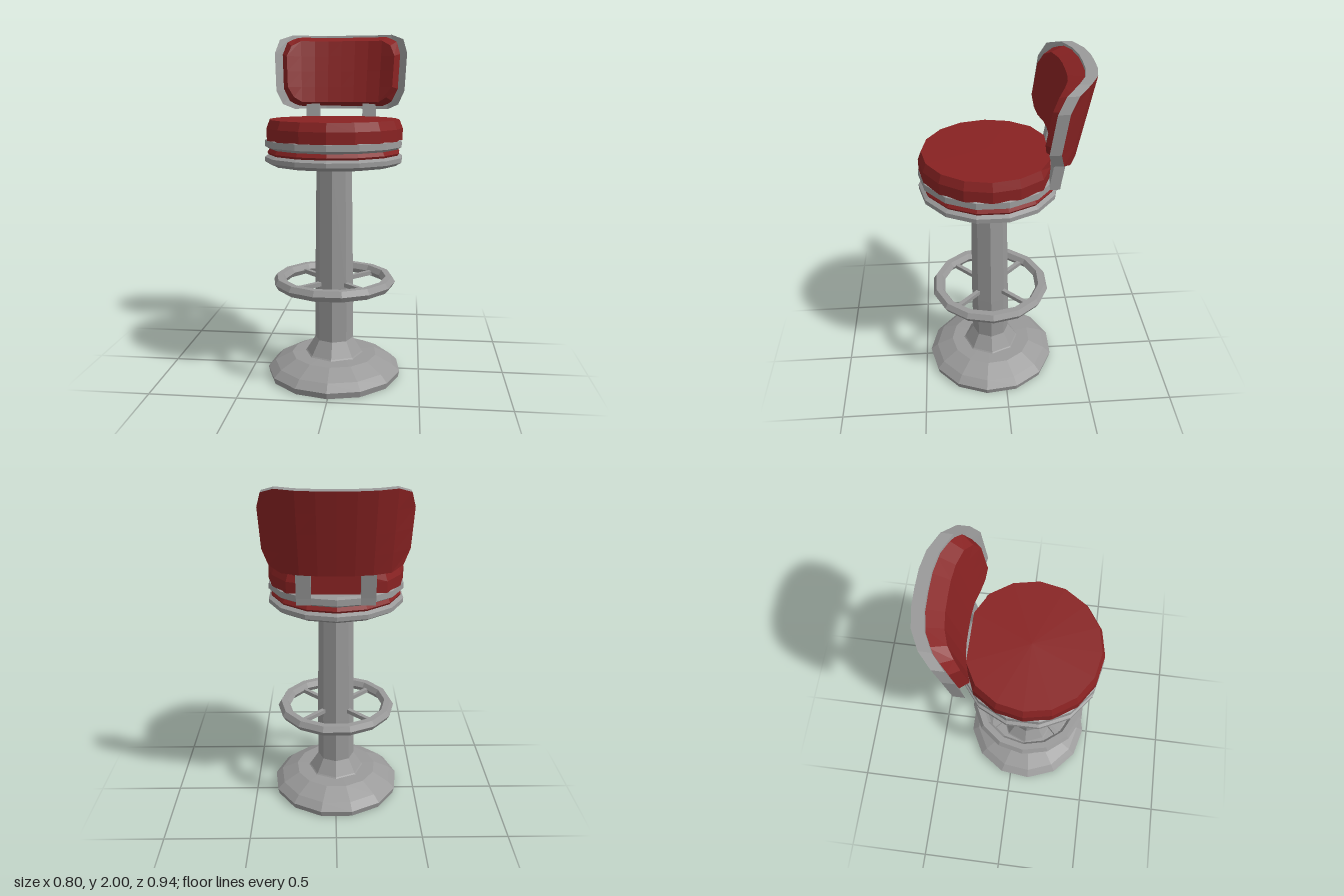
import * as THREE from 'three';

const red = new THREE.MeshStandardMaterial({ color: 0x882222, flatShading: true });
red.name = 'red upholstery';
const grey = new THREE.MeshStandardMaterial({ color: 0x999999, flatShading: true });
grey.name = 'grey metal';

const AXIS_Z = 0.077; // the pedestal stands slightly forward of the backrest

export function createModel() {
  const model = new THREE.Group();
  model.name = 'barStool';

  const add = (name, geometry, material) => {
    const mesh = new THREE.Mesh(geometry, material);
    mesh.name = name;
    model.add(mesh);
    return mesh;
  };

  // Faceted turned part around the pedestal axis; profile runs bottom to top
  const turned = (name, profile, sides, material) => {
    const points = profile.map(([r, y]) => new THREE.Vector2(r, y));
    const mesh = add(name, new THREE.LatheGeometry(points, sides), material);
    mesh.position.set(-0.004, 0, AXIS_Z);
    return mesh;
  };

  // Pedestal
  turned('base', [[0, 0], [0.385, 0], [0.393, 0.035], [0.35, 0.075], [0.25, 0.125], [0, 0.135]], 13, grey);
  turned('column', [[0.19, 0.11], [0.165, 0.135], [0.112, 0.22], [0.112, 0.5], [0.102, 1.23], [0.09, 1.27]], 8, grey);

  // Foot ring with four thin spokes
  const ring = new THREE.TorusGeometry(0.32, 0.037, 6, 14);
  ring.rotateX(Math.PI / 2).scale(1, 0.95, 1);
  add('footRing', ring, grey).position.set(-0.004, 0.568, AXIS_Z);
  for (let i = 0; i < 4; i++) {
    const spoke = new THREE.BoxGeometry(0.22, 0.025, 0.025);
    spoke.translate(0.2, 0, 0).rotateY(Math.PI / 4 + i * Math.PI / 2);
    add('footRingSpoke', spoke, grey).position.set(-0.004, 0.562, AXIS_Z);
  }

  // Seat: plate, recessed trim, metal band, cushion
  turned('seatPlate', [[0, 1.255], [0.36, 1.255], [0.393, 1.275], [0.393, 1.3], [0.365, 1.318], [0, 1.318]], 14, grey);
  turned('seatTrim', [[0.37, 1.31], [0.378, 1.325], [0.362, 1.352]], 14, red);
  turned('seatBand', [[0, 1.345], [0.365, 1.345], [0.392, 1.36], [0.39, 1.395], [0.37, 1.405], [0, 1.405]], 14, grey);
  const cushion = turned('seatCushion',
    [[0, 1.395], [0.387, 1.395], [0.387, 1.46], [0.368, 1.508], [0, 1.516]], 16, red);
  const cp = cushion.geometry.attributes.position;
  for (let i = 0; i < cp.count; i++) cp.setZ(i, Math.max(cp.getZ(i), -0.325)); // flattened at the back

  // Backrest struts
  const strutShape = new THREE.Shape([
    [-0.2, 1.36], [-0.295, 1.36], [-0.3, 1.4], [-0.335, 1.62], [-0.275, 1.62], [-0.24, 1.4],
  ].map(([z, y]) => new THREE.Vector2(z, y)).reverse());
  for (const x of [-0.172, 0.172]) {
    const strut = new THREE.ExtrudeGeometry(strutShape, { depth: 0.08, bevelEnabled: false });
    strut.translate(0, 0, -0.04).rotateY(-Math.PI / 2);
    add(x > 0 ? 'leftStrut' : 'rightStrut', strut, grey).position.x = x;
  }

  // Curved, reclined slab with clipped corners; inset shrinks its front face
  const backSlab = (halfW, y0, y1, zBack, depth, corner, inset) => {
    const g = new THREE.BoxGeometry(2, 2, 1, 8, 4, 1);
    const p = g.attributes.position;
    for (let i = 0; i < p.count; i++) {
      const u = p.getX(i), v = p.getY(i), front = p.getZ(i) > 0 ? 1 : 0;
      const isCorner = Math.abs(u) > 0.99 && Math.abs(v) > 0.99;
      const clip = isCorner ? corner : 0;
      let x = u * (halfW - front * inset) * (0.97 + 0.03 * v);
      let y = (y0 + y1) / 2 + v * ((y1 - y0) / 2 - front * inset * 0.7);
      x -= Math.sign(u) * clip;
      y -= Math.sign(v) * clip;
      const z = zBack + 0.16 * Math.pow(Math.abs(x) / 0.4, 3) + (1.99 - y) * 0.2 + front * depth;
      p.setXYZ(i, x, y, z);
    }
    return g;
  };
  // Metal shell, upholstered on its rear face
  add('backrestShell', backSlab(0.404, 1.55, 1.995, -0.474, 0.062, 0.03, 0),
    [grey, grey, grey, grey, grey, red]);
  add('backrestCushion', backSlab(0.368, 1.565, 1.985, -0.42, 0.09, 0.03, 0.04), red);

  return model;
}
